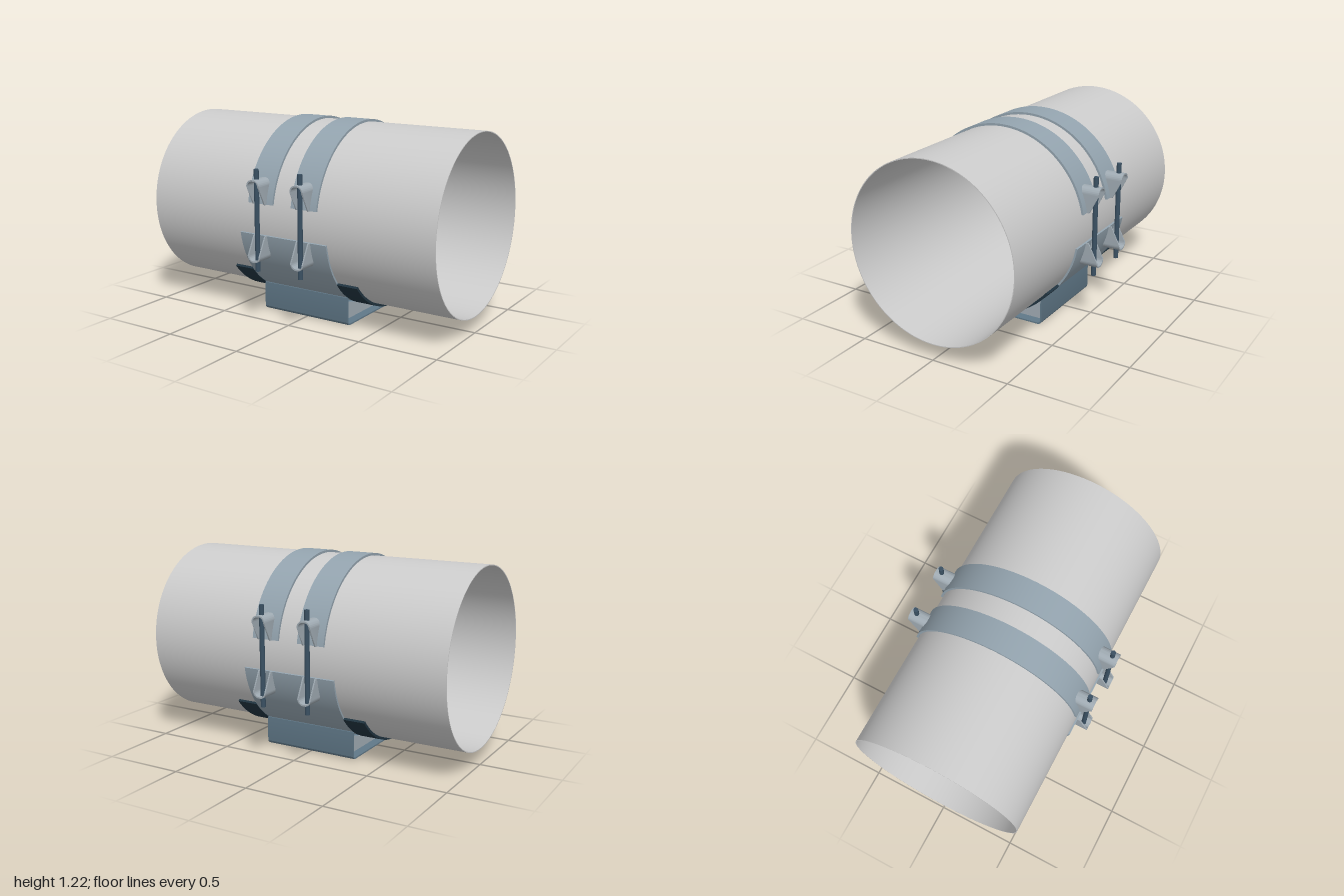
import * as THREE from 'three';
import { toCreasedNormals } from 'three/addons/utils/BufferGeometryUtils.js';

const AXIS_Y = 0.65; // height of the pipe axis
const PIPE_R = 0.55;
const BOLT_X = 0.155;
const rad = THREE.MathUtils.degToRad;

const material = (color) => new THREE.MeshStandardMaterial({ color, side: THREE.DoubleSide });
const mats = {
  pipe: material(0xcccccc),
  strap: material(0x93a3ae),
  lug: material(0xa0abb3),
  base: material(0x607888),
  bolt: material(0x3a5062),
  pad: material(0x20333f),
};

function addMesh(parent, name, geometry, mat) {
  const mesh = new THREE.Mesh(geometry, mat);
  mesh.name = name;
  parent.add(mesh);
  return mesh;
}

// Extrude a profile, centred on its own depth
function extrude(shape, depth, curveSegments = 64) {
  const geo = new THREE.ExtrudeGeometry(shape, { depth, bevelEnabled: false, curveSegments });
  geo.translate(0, 0, -depth / 2);
  return geo;
}

// Same, but running along x: the profile lies in the z-y plane
const extrudeAlongX = (shape, width, centreX) =>
  toCreasedNormals(extrude(shape, width).rotateY(Math.PI / 2).translate(centreX, 0, 0), 0.5);

// Curved band around the pipe axis, spanning +-half degrees about the mid direction
function bandShape(inner, outer, midDeg, halfDeg) {
  const a = rad(midDeg - halfDeg), b = rad(midDeg + halfDeg);
  const s = new THREE.Shape();
  s.absarc(0, AXIS_Y, outer, a, b, false);
  s.absarc(0, AXIS_Y, inner, b, a, true);
  s.closePath();
  return s;
}

function pipeShape() {
  const s = new THREE.Shape().absarc(0, AXIS_Y, PIPE_R, 0, Math.PI * 2, false);
  s.holes.push(new THREE.Path().absarc(0, AXIS_Y, PIPE_R - 0.005, 0, Math.PI * 2, true));
  return s;
}

// Folded base plate: flat bottom with two upright sides and rounded bends
function channelShape() {
  const w = 0.318, h = 0.178, t = 0.009, r = 0.028;
  const s = new THREE.Shape();
  s.moveTo(-w, h);
  s.lineTo(-w, r);
  s.absarc(-w + r, r, r, Math.PI, Math.PI * 1.5, false);
  s.absarc(w - r, r, r, Math.PI * 1.5, Math.PI * 2, false);
  s.lineTo(w, h);
  s.lineTo(w - t, h);
  s.absarc(w - r, r, r - t, 0, -Math.PI / 2, true);
  s.absarc(-w + r, r, r - t, -Math.PI / 2, -Math.PI, true);
  s.lineTo(-w + t, h);
  s.closePath();
  return s;
}

// Upright web with cut bottom corners and a curved saddle on top
function webShape() {
  const w = 0.308, r = 0.574, cut = 0.03, y0 = 0.009;
  const a = Math.acos(w / r);
  const s = new THREE.Shape();
  s.moveTo(-w, y0 + cut);
  s.lineTo(-w + cut, y0);
  s.lineTo(w - cut, y0);
  s.lineTo(w, y0 + cut);
  s.absarc(0, AXIS_Y, r, -a, -Math.PI + a, true);
  s.closePath();
  return s;
}

// Bolt lug: U-bent plate, its legs tapering toward the pipe; y is measured from the axis
function lugGeometry() {
  const w = 0.045, t = 0.009, bend = 0.04, low = 0.095, top = 0.25;
  const s = new THREE.Shape();
  s.moveTo(w, low);
  s.lineTo(w, top - bend);
  s.absarc(w - bend, top - bend, bend, 0, Math.PI / 2, false);
  s.absarc(-w + bend, top - bend, bend, Math.PI / 2, Math.PI, false);
  s.lineTo(-w, low);
  s.lineTo(-w + t, low);
  s.lineTo(-w + t, top - bend);
  s.absarc(-w + bend, top - bend, bend - t, Math.PI, Math.PI / 2, true);
  s.absarc(w - bend, top - bend, bend - t, Math.PI / 2, 0, true);
  s.lineTo(w - t, low);
  s.closePath();
  const geo = extrude(s, 1, 10);
  const p = geo.attributes.position;
  for (let i = 0; i < p.count; i++) {
    const y = p.getY(i);
    const k = Math.min(1, (y - low) / (top - bend - low));
    const outer = 0.57 + 0.058 * k;
    const inner = Math.sqrt(0.562 ** 2 - y * y);
    p.setZ(i, p.getZ(i) > 0 ? outer : inner);
  }
  geo.computeVertexNormals();
  return toCreasedNormals(geo, 0.5);
}

export function createModel() {
  const model = new THREE.Group();
  model.name = 'pipeSupport';

  addMesh(model, 'pipe', extrudeAlongX(pipeShape(), 2, 0), mats.pipe);

  // Lower cradle and the liner pads showing at both of its ends
  addMesh(model, 'cradle', extrudeAlongX(bandShape(0.551, 0.563, -90, 80.2), 0.618, 0), mats.strap);
  for (const side of [-1, 1]) {
    addMesh(model, 'linerPad', extrudeAlongX(bandShape(0.551, 0.566, -90, 50.7), 0.138, side * 0.378), mats.pad);
  }

  // Base
  addMesh(model, 'baseChannel', extrudeAlongX(channelShape(), 0.618, 0), mats.base);
  for (const side of [-1, 1]) {
    addMesh(model, 'baseWeb', extrudeAlongX(webShape(), 0.012, side * 0.245), mats.lug);
  }

  // Straps over the top, each with a bolt and two lugs at front and back
  const lug = lugGeometry();
  const bolt = new THREE.CylinderGeometry(0.015, 0.015, 0.62, 24);
  for (const x of [-BOLT_X, BOLT_X]) {
    addMesh(model, 'strap', extrudeAlongX(bandShape(0.551, 0.565, 90, 80.2), 0.178, x), mats.strap);
    for (const turn of [0, Math.PI]) {
      const clamp = new THREE.Group();
      clamp.name = 'clamp';
      clamp.position.set(x, AXIS_Y, 0);
      clamp.rotation.y = turn;
      addMesh(clamp, 'bolt', bolt, mats.bolt).position.z = 0.588;
      addMesh(clamp, 'upperLug', lug, mats.lug);
      addMesh(clamp, 'lowerLug', lug, mats.lug).rotation.z = Math.PI;
      model.add(clamp);
    }
  }
  return model;
}
